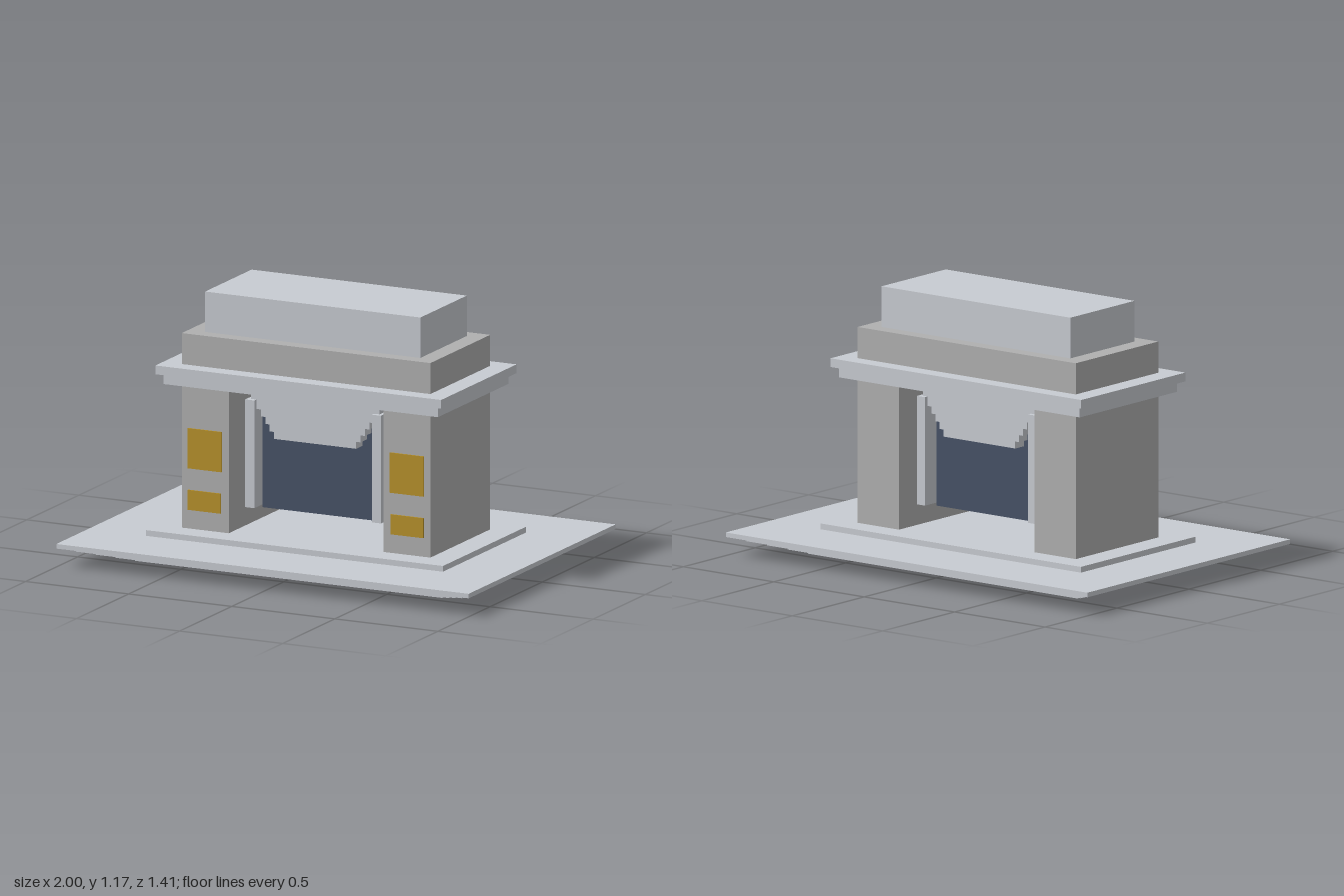
import * as THREE from 'three';

export function createModel() {
  const root = new THREE.Group();
  const mat = (color) => new THREE.MeshStandardMaterial({ color, flatShading: true });
  const pale = mat(0xc8ccd2), stone = mat(0xb0b0b0), gold = mat(0xb8922a), navy = mat(0x475266);

  const add = (name, geometry, material) => {
    const mesh = new THREE.Mesh(geometry, material);
    mesh.name = name;
    root.add(mesh);
    return mesh;
  };
  // box from half width, bottom, top and half depth, centred on the axis
  const slab = (name, hx, y0, y1, hz, material) => {
    const mesh = add(name, new THREE.BoxGeometry(hx * 2, y1 - y0, hz * 2), material);
    mesh.position.y = (y0 + y1) / 2;
    return mesh;
  };
  // mirrored pair of boxes spanning x0..x1 on both sides
  const pair = (name, x0, x1, y0, y1, z0, z1, material) => {
    for (const s of [1, -1]) {
      const mesh = add(name, new THREE.BoxGeometry(x1 - x0, y1 - y0, z1 - z0), material);
      mesh.position.set(s * (x0 + x1) / 2, (y0 + y1) / 2, (z0 + z1) / 2);
    }
  };

  // base tiers widening upwards, with a plinth on top
  const tier = 0.1025 / 5;
  for (let i = 0; i < 5; i++) {
    slab('baseTier', 0.746 + i * 0.0635, i * tier, (i + 1) * tier, 0.452 + i * 0.0633, pale);
  }
  slab('plinth', 0.72, 0.1025, 0.128, 0.398, pale);

  // two piers with inlaid plaques on the front
  pair('pier', 0.375, 0.603, 0.128, 0.772, -0.287, 0.287, stone);
  pair('upperPlaque', 0.408, 0.573, 0.397, 0.576, 0.28, 0.293, gold);
  pair('lowerPlaque', 0.412, 0.571, 0.212, 0.301, 0.28, 0.293, gold);

  // cornice, upper wall and attic
  slab('lowerCornice', 0.665, 0.772, 0.818, 0.338, pale);
  slab('upperCornice', 0.693, 0.818, 0.857, 0.362, pale);
  slab('upperWall', 0.603, 0.857, 0.995, 0.287, stone);
  slab('attic', 0.522, 0.995, 1.175, 0.223, pale);

  // dark infill and door jambs between the piers
  slab('darkInfill', 0.285, 0.222, 0.772, 0.14, navy);
  pair('jamb', 0.285, 0.329, 0.235, 0.715, -0.22, 0.22, pale);

  // header with corners cut in steps
  const steps = [[0.312, 0.735], [0.312, 0.715], [0.285, 0.715]];
  for (let i = 0; i < 5; i++) {
    const x = 0.285 - i * 0.0215, y = 0.673 - i * 0.031;
    steps.push([x, y]);
    if (i < 4) steps.push([x - 0.0215, y]);
  }
  const outline = [...steps, ...steps.map(([x, y]) => [-x, y]).reverse()];
  const header = new THREE.ExtrudeGeometry(
    new THREE.Shape(outline.map(([x, y]) => new THREE.Vector2(x, y))),
    { depth: 0.4, bevelEnabled: false });
  header.translate(0, 0, -0.2);
  add('steppedHeader', header, pale);

  return root;
}
